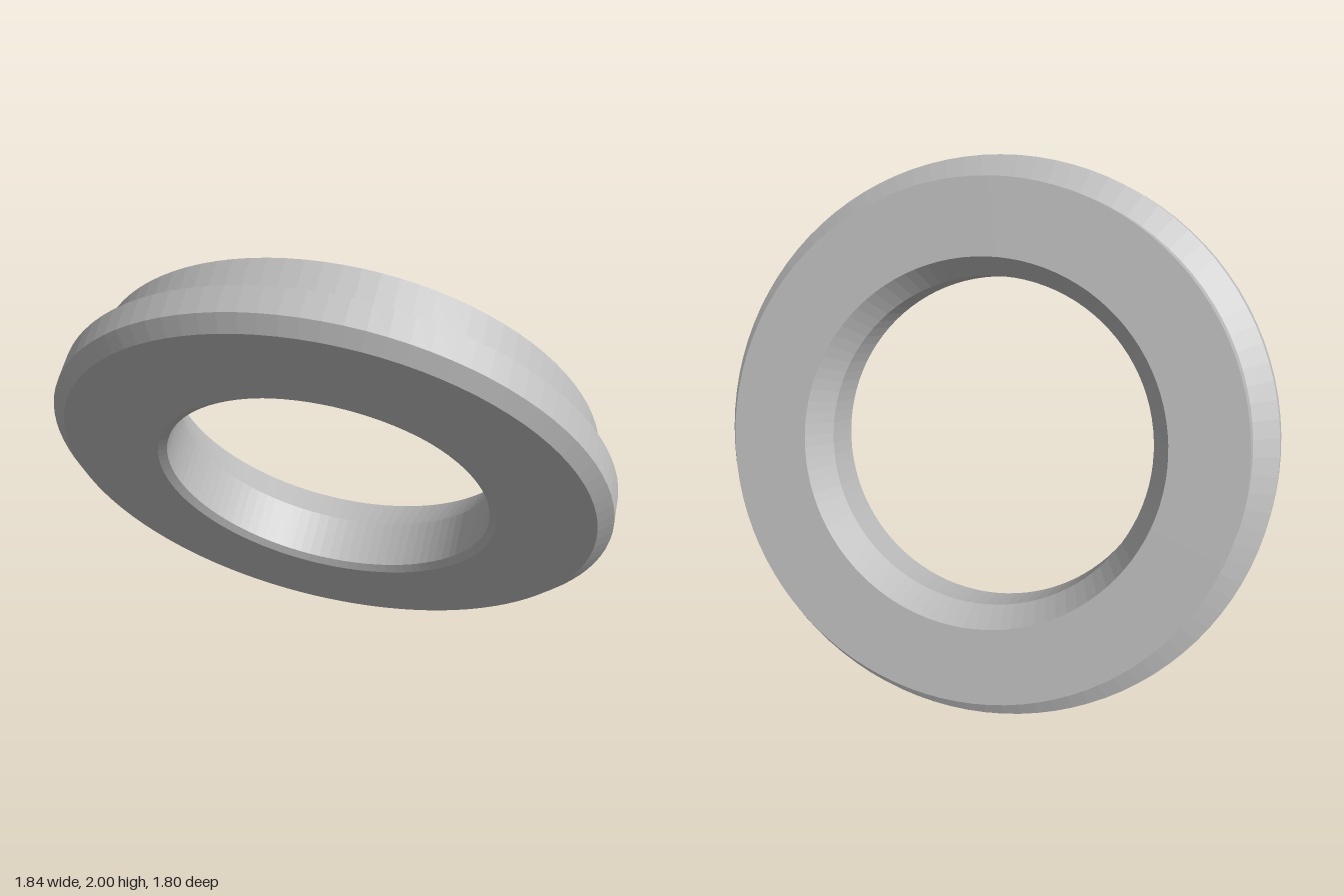
import * as THREE from 'three';

const SEGMENTS = 96;

// Profiles as [radius, height along the ring axis]; the top face is at height 0.
const PROFILES = {
  // flat underside, chamfer, outer wall and sloping upper shoulder
  rimFlange: [[0.667, -0.345], [1.04, -0.345], [1.095, -0.3], [1.095, -0.19], [1.0, -0.137]],
  // raised collar with its flat top face
  collar: [[1.0, -0.137], [1.0, 0], [0.706, 0]],
  // flared opening, straight hole and small lower bevel
  bore: [[0.706, 0], [0.637, -0.128], [0.637, -0.325], [0.667, -0.345]],
};

export function createModel() {
  const grey = new THREE.MeshStandardMaterial({ color: 0xbcbcbc, flatShading: true });
  grey.name = 'plain grey';

  const ring = new THREE.Group();
  ring.name = 'steppedRing';
  for (const [name, profile] of Object.entries(PROFILES)) {
    const points = profile.map(([r, h]) => new THREE.Vector2(r, h));
    const mesh = new THREE.Mesh(new THREE.LatheGeometry(points, SEGMENTS), grey);
    mesh.name = name;
    ring.add(mesh);
  }

  // Tilt the ring so its collar faces left, up and back
  const axis = new THREE.Vector3(0.612, 0.462, -0.643).normalize();
  ring.quaternion.setFromUnitVectors(new THREE.Vector3(0, 1, 0), axis);
  ring.position.set(0.127, 1.113, -0.135);

  const model = new THREE.Group();
  model.name = 'tiltedRing';
  model.add(ring);
  return model;
}
